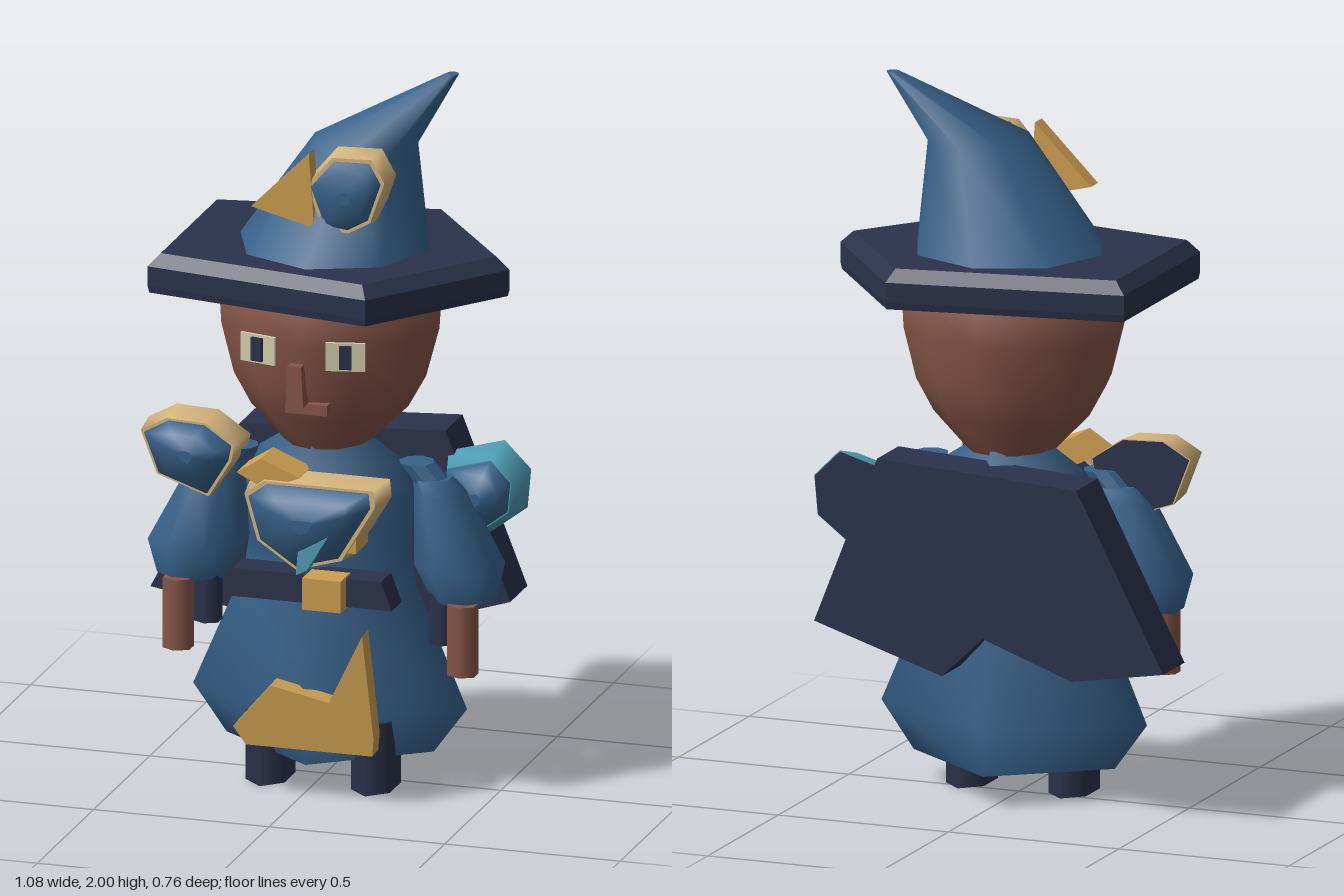
import * as THREE from 'three';

const mat = (name, color) => {
  const m = new THREE.MeshStandardMaterial({ color });
  m.name = name;
  return m;
};

// Skin over a stack of rings (counter-clockwise seen from the last ring), with flat caps
function loft(rings, flat = false) {
  const n = rings[0].length, pos = [], idx = [];
  rings.forEach(r => r.forEach(p => pos.push(...p)));
  for (let k = 0; k < rings.length - 1; k++) {
    for (let i = 0; i < n; i++) {
      const j = (i + 1) % n, a = k * n + i, b = k * n + j;
      idx.push(a, b, a + n, b, b + n, a + n);
    }
  }
  const cap = (ring, flip) => {
    const s = pos.length / 3;
    ring.forEach(p => pos.push(...p));
    for (let i = 1; i < n - 1; i++) idx.push(s, s + (flip ? i + 1 : i), s + (flip ? i : i + 1));
  };
  cap(rings[0], true);
  cap(rings[rings.length - 1], false);
  let g = new THREE.BufferGeometry();
  g.setAttribute('position', new THREE.Float32BufferAttribute(pos, 3));
  g.setIndex(idx);
  if (flat) g = g.toNonIndexed();
  g.computeVertexNormals();
  return g;
}

// Horizontal elliptical ring
const ring = (n, cx, y, cz, rx, rz = rx, turn = 0) => Array.from({ length: n }, (_, i) => {
  const a = ((i + turn) / n) * Math.PI * 2;
  return [cx + Math.cos(a) * rx, y, cz - Math.sin(a) * rz];
});

// Flat outline pushed along z
function slab(points, z0, z1) {
  const s = new THREE.Shape(points.map(p => new THREE.Vector2(...p)));
  return new THREE.ExtrudeGeometry(s, { depth: z1 - z0, bevelEnabled: false }).translate(0, 0, z0);
}

export function createModel() {
  const model = new THREE.Group();
  model.name = 'wizard';
  const blue = mat('robe blue', 0x37628b), navy = mat('dark navy', 0x2b324b);
  const skin = mat('brown skin', 0x875648), gold = mat('gold', 0xcd9f50);
  const pale = mat('pale gold', 0xd6b67e), cream = mat('eye cream', 0xd5cdac);
  const teal = mat('teal', 0x4f9fb6);

  const add = (name, geo, material, parent = model) => {
    const m = new THREE.Mesh(geo, material);
    m.name = name;
    parent.add(m);
    return m;
  };
  const box = (name, material, x0, x1, y0, y1, z0, z1, parent) =>
    add(name, new THREE.BoxGeometry(x1 - x0, y1 - y0, z1 - z0)
      .translate((x0 + x1) / 2, (y0 + y1) / 2, (z0 + z1) / 2), material, parent);
  // Upright six-sided post, pointed towards the front
  const post = (name, material, x, z, y0, y1, halfX, halfZ, parent) =>
    add(name, new THREE.CylinderGeometry(1, 1, y1 - y0, 6)
      .scale(halfX / 0.866, 1, halfZ).translate(x, (y0 + y1) / 2, z), material, parent);

  // Robe with a diamond cross-section
  add('robe', loft([
    [0.09, 0.295, 0.22], [0.22, 0.39, 0.248], [0.56, 0.245, 0.2], [0.66, 0.23, 0.19],
    [0.82, 0.24, 0.19], [0.92, 0.2, 0.18], [0.985, 0.1, 0.165],
  ].map(([y, rx, rz]) => ring(4, 0.012, y, -0.005, rx, rz))), blue);

  // Legs
  for (const x of [-0.135, 0.165]) post('leg', navy, x, 0.065, 0, 0.2, 0.055, 0.1);

  // Belt and buckle
  add('belt', slab([[-0.21, 0.56], [0.265, 0.56], [0.235, 0.64], [-0.185, 0.64]], 0.15, 0.24), navy);
  box('buckle', gold, 0.025, 0.135, 0.555, 0.645, 0.2, 0.285);

  // Hem trim, leaning slightly forward
  const trim = add('hemTrim', slab([[-0.18, 0.05], [-0.145, 0], [0.215, 0], [0.22, 0.05],
    [0.195, 0.35], [0.095, 0.145], [-0.07, 0.18]], 0, 0.055), gold);
  trim.position.set(0, 0.15, 0.2);
  trim.rotation.x = 0.08;

  // Arms, the right sleeve a little fuller
  for (const s of [1, -1]) {
    const arm = new THREE.Group();
    arm.name = s > 0 ? 'leftArm' : 'rightArm';
    const cx = x => 0.015 + s * x;
    const full = s > 0 ? 1 : 1.13;
    add('sleeve', loft([
      [0.385, 0.545, 0.015, 0.09], [0.372, 0.64, 0.014, 0.124],
      [0.32, 0.84, 0.015, 0.074], [0.295, 0.88, 0.015, 0.055],
    ].map(([x, y, z, r]) => ring(8, cx(x), y, z, r * full, r, 0.5))), blue, arm);
    add('shoulder', loft([
      [0.32, 0.84, 0.055], [0.25, 0.92, 0.05],
    ].map(([x, y, r]) => ring(8, cx(x), y, 0.015, r)), true), blue, arm);
    post('hand', skin, cx(0.405), 0.09, 0.35, 0.55, 0.038, 0.04, arm);
    post('cuff', navy, cx(0.335), 0.045, 0.42, 0.57, 0.035, 0.037, arm);
    model.add(arm);
  }

  // Head
  add('head', loft([
    [0.97, 0.125, 0.155], [1.07, 0.222, 0.212], [1.16, 0.272, 0.25], [1.3, 0.31, 0.268],
    [1.39, 0.316, 0.27], [1.5, 0.26, 0.22],
  ].map(([y, rx, rz]) => ring(12, 0.015, y, 0, rx, rz))), skin);

  // Eyes
  for (const s of [-1, 1]) {
    const eye = new THREE.Group();
    eye.name = s > 0 ? 'leftEye' : 'rightEye';
    box('eyeWhite', cream, -0.054, 0.054, -0.04, 0.04, -0.004, 0.005, eye);
    box('pupil', navy, -0.017, 0.017, -0.033, 0.033, 0.005, 0.014, eye);
    eye.position.set(0.014 + s * 0.124, 1.276, 0.252);
    eye.rotation.y = s * 0.23;
    model.add(eye);
  }

  // Nose and mouth
  add('nose', slab([[-0.022, 1.13], [0.028, 1.13], [0.022, 1.245], [-0.018, 1.245]], 0.22, 0.285), skin);
  box('mouth', skin, -0.035, 0.085, 1.1, 1.13, 0.2, 0.25);

  // Hat brim: pentagon with a bevelled upper edge
  const brim = [[0.525, 0], [0.235, -0.38], [-0.42, -0.27], [-0.42, 0.27], [0.235, 0.38]];
  add('hatBrim', loft([[1.41, 0.99], [1.43, 1], [1.485, 1], [1.52, 0.925]]
    .map(([y, k]) => brim.map(([x, z]) => [x * k, y, z * k])), true), navy);

  // Hat cone, bent towards its tip
  add('hatCone', loft([
    [0.025, 1.51, 0, 0.274], [0.115, 1.82, -0.008, 0.147], [0.335, 2, -0.085, 0.018],
  ].map(([x, y, z, r]) => ring(8, x, y, z, r))), blue);

  // Shell ornament: tapered rim, dark back plate and domed front
  function shell(name, rimMat, points, z0, z1, peak, front, inner) {
    const g = new THREE.Group();
    g.name = name;
    const pts = points.slice().reverse();
    const mx = pts.reduce((t, p) => t + p[0], 0) / pts.length;
    const my = pts.reduce((t, p) => t + p[1], 0) / pts.length;
    const at = (k, z) => pts.map(([x, y]) => [mx + (x - mx) * k, my + (y - my) * k, z]);
    add('rim', loft([at(1, z0), at(front, z1)]), rimMat, g);
    add('backPlate', loft([at(0.97, z0 - 0.006), at(0.97, z0)], true), navy, g);
    const h = peak - z1;
    add('dome', loft([at(inner, z1 - 0.01), at(inner * 0.98, z1 + 0.15 * h),
      at(inner * 0.68, z1 + 0.75 * h), at(0.15, peak)]), blue, g);
    model.add(g);
  }
  shell('chestShell', pale, [[-0.16, 0.87], [-0.1, 0.915], [0.24, 0.915], [0.245, 0.865],
    [0.14, 0.69], [0, 0.65], [-0.12, 0.73]], 0.175, 0.27, 0.33, 0.92, 0.86);
  shell('rightShoulderShell', pale, [[-0.5, 0.97], [-0.42, 1.015], [-0.3, 1.01], [-0.21, 0.95],
    [-0.22, 0.9], [-0.29, 0.785], [-0.45, 0.84]], 0.01, 0.12, 0.18, 0.92, 0.86);
  shell('leftShoulderShell', teal, [[0.3, 0.9], [0.46, 0.945], [0.535, 0.87], [0.525, 0.76],
    [0.42, 0.68], [0.3, 0.75]], -0.16, -0.06, 0, 0.78, 0.76);
  shell('hatShell', pale, [[0, 1.74], [0.08, 1.835], [0.205, 1.84], [0.245, 1.77],
    [0.2, 1.64], [0.13, 1.6], [0.05, 1.61]], 0.135, 0.205, 0.235, 0.9, 0.82);

  // Small ornaments
  add('hatTriangle', slab([[-0.145, 1.665], [0.035, 1.62], [0.02, 1.83]], 0.16, 0.21), gold);
  add('collarClasp', slab([[-0.17, 0.92], [-0.09, 0.88], [0.01, 0.92], [-0.1, 0.965]], 0.15, 0.26), gold);
  box('lowerClasp', gold, 0.11, 0.17, 0.72, 0.8, 0.15, 0.26);
  add('chestGem', slab([[0.02, 0.665], [0.05, 0.68], [0.11, 0.78], [0.025, 0.73]], 0.26, 0.325), teal);

  // Stiff cape slab on the back
  add('cape', slab([[0.3, 0.965], [0.485, 0.495], [0.11, 0.375], [-0.01, 0.49],
    [-0.27, 0.395], [-0.54, 0.44], [-0.285, 0.93]], -0.282, -0.13), navy);

  return model;
}
